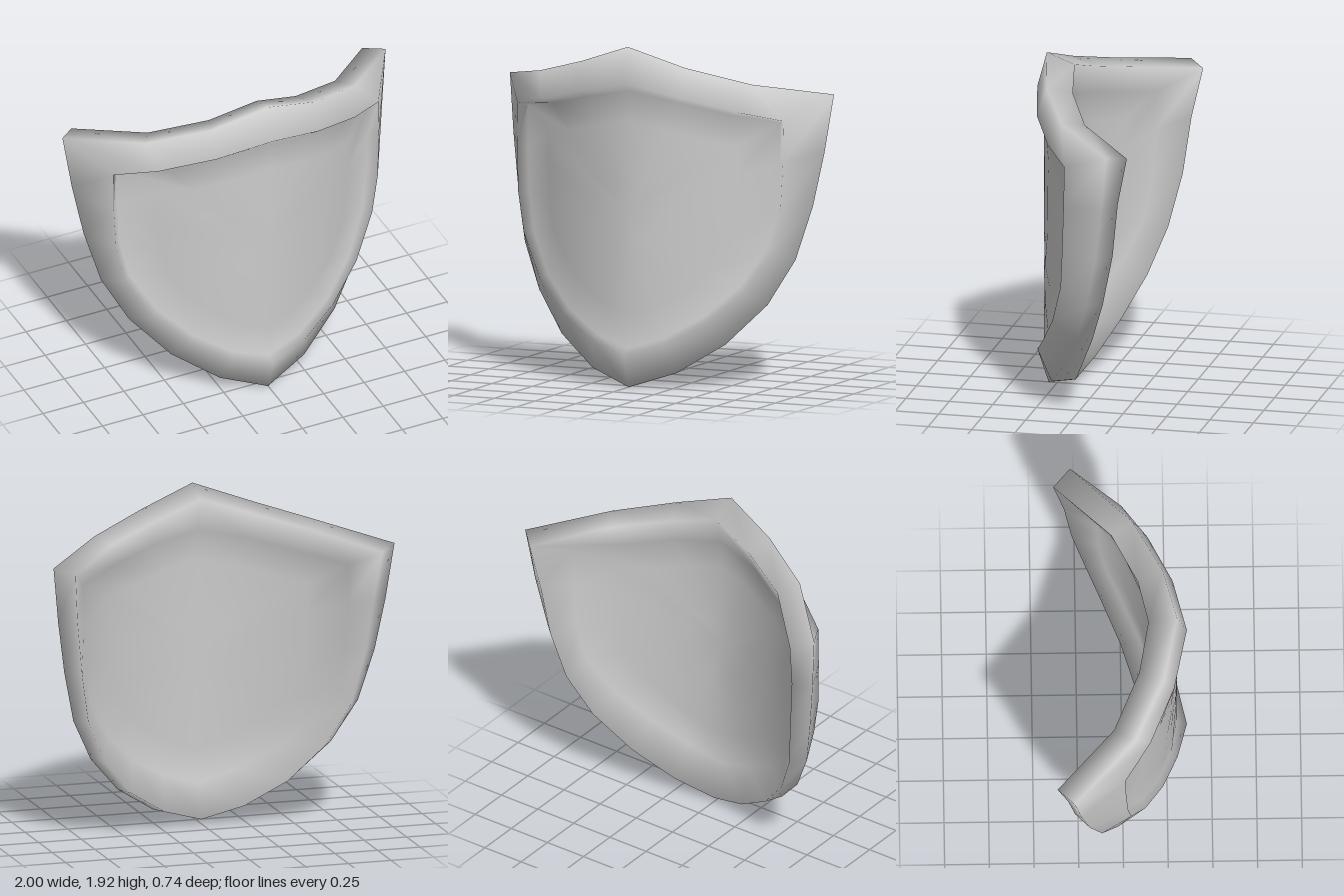
import * as THREE from 'three';

// Right-hand half of each loop, from top centre round the corner to the bottom tip.
const outerEdge = [
  [0, 1.93, 0.31], [0.32, 1.82, 0.235], [0.65, 1.725, 0.07], [1, 1.645, -0.275], [0.96, 1.32, -0.235],
  [0.91, 1.02, -0.19], [0.835, 0.72, -0.12], [0.705, 0.47, -0.03], [0.505, 0.25, 0.1], [0.26, 0.09, 0.22], [0, 0.005, 0.3],
];
const frontCrest = [
  [0, 1.73, 0.365], [0.32, 1.655, 0.29], [0.61, 1.575, 0.155], [0.82, 1.52, 0.01], [0.82, 1.29, 0.015],
  [0.81, 1.03, 0.025], [0.765, 0.8, 0.045], [0.63, 0.56, 0.125], [0.44, 0.385, 0.225], [0.22, 0.26, 0.31], [0, 0.195, 0.365],
];
const backEdge = [
  [0, 1.87, 0.15], [0.27, 1.785, 0.095], [0.58, 1.7, -0.05], [0.9, 1.62, -0.37], [0.87, 1.34, -0.31],
  [0.83, 1.02, -0.27], [0.77, 0.72, -0.2], [0.65, 0.47, -0.11], [0.46, 0.25, 0], [0.235, 0.105, 0.085], [0, 0.03, 0.145],
];
const panelEdge = [
  [0, 1.68], [0.28, 1.625], [0.55, 1.555], [0.78, 1.505], [0.775, 1.28],
  [0.765, 1.02], [0.72, 0.8], [0.59, 0.58], [0.41, 0.41], [0.205, 0.29], [0, 0.225],
];

// The panel bends round the vertical axis
const bend = (x) => 0.31 - 0.06 * Math.abs(x) - 0.5 * x * x;

// Full loop from its right-hand half
const mirror = (half) => [...half, ...half.slice(1, -1).reverse().map(([x, y, z]) => [-x, y, z])];

// Panel loop, shrunk towards the middle and laid on the bend
const panelLoop = (scale, depth) => mirror(panelEdge.map(([x, y]) =>
  [x * scale, 1.0 + (y - 1.0) * scale, bend(x * scale) - depth]));

export function createModel() {
  const group = new THREE.Group();
  const scales = [0, 0.25, 0.5, 0.75, 1];
  const thickness = 0.09;
  const rings = [
    ...scales.map((s) => panelLoop(s, 0)),
    mirror(frontCrest), mirror(outerEdge), mirror(backEdge),
    ...scales.slice().reverse().map((s) => panelLoop(s, thickness)),
  ];
  const n = rings[0].length;
  const last = rings.length - 1;

  // Triangles joining consecutive loops
  const skin = (from, to) => {
    const index = [];
    for (let r = from; r < to; r++) {
      for (let i = 0; i < n; i++) {
        const j = (i + 1) % n;
        // the loops at the very middle are single points
        const at = (ring, k) => ring * n + (ring === 0 || ring === last ? 0 : k);
        const a = at(r, i), b = at(r, j), c = at(r + 1, i), d = at(r + 1, j);
        if (a !== b) index.push(a, b, c);
        if (c !== d) index.push(b, d, c);
      }
    }
    return index;
  };

  // One closed surface gives normals that run smoothly across the parts
  const whole = new THREE.BufferGeometry();
  whole.setAttribute('position', new THREE.Float32BufferAttribute(rings.flat(2), 3));
  whole.setIndex(skin(0, last));
  whole.computeVertexNormals();

  const material = new THREE.MeshStandardMaterial({ color: 0xcccccc });
  const addPart = (name, from, to) => {
    const geometry = whole.clone();
    geometry.setIndex(skin(from, to));
    const mesh = new THREE.Mesh(geometry, material);
    mesh.name = name;
    group.add(mesh);
  };
  addPart('frontPanel', 0, 4);
  addPart('rim', 4, 8);
  addPart('backPanel', 8, last);
  group.name = 'shield';
  return group;
}
